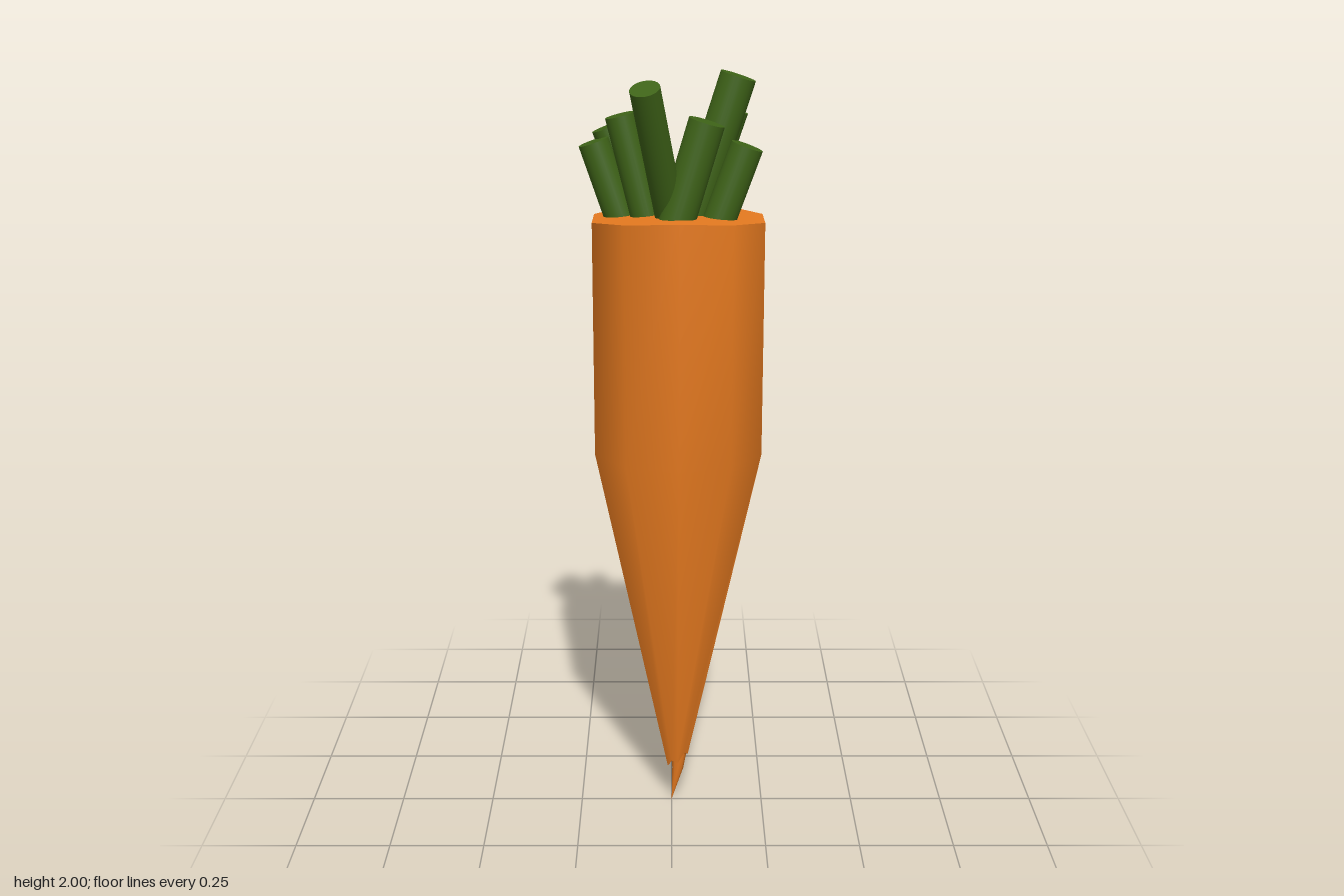
import * as THREE from 'three';
import { toCreasedNormals } from 'three/addons/utils/BufferGeometryUtils.js';

const SIDES = 10;

// Skin stacked rings, closed by a top centre point and a bottom centre point
function skin(rings, top, bottom) {
  const pos = rings.flat(2), idx = [], n = SIDES;
  const t = rings.length * n, b = t + 1;
  pos.push(...top, ...bottom);
  for (let r = 0; r < rings.length - 1; r++) {
    for (let i = 0; i < n; i++) {
      const j = (i + 1) % n;
      const a = r * n + i, c = r * n + j;
      idx.push(a, a + n, c, c, a + n, c + n);
    }
  }
  const last = (rings.length - 1) * n;
  for (let i = 0; i < n; i++) {
    const j = (i + 1) % n;
    idx.push(t, i, j, b, last + j, last + i);
  }
  const g = new THREE.BufferGeometry();
  g.setAttribute('position', new THREE.Float32BufferAttribute(pos, 3));
  g.setIndex(idx);
  return toCreasedNormals(g, 0.7);
}

function ring(cx, cz, radius, height) {
  return Array.from({ length: SIDES }, (_, i) => {
    const a = (i / SIDES) * Math.PI * 2;
    return [cx + radius * Math.sin(a), height(a, i), cz + radius * Math.cos(a)];
  });
}

// Straight cylinder between two points
function stem(from, to, radius, material) {
  const a = new THREE.Vector3(...from), b = new THREE.Vector3(...to);
  const dir = b.clone().sub(a);
  const mesh = new THREE.Mesh(new THREE.CylinderGeometry(radius, radius, dir.length(), 24), material);
  mesh.position.copy(a).add(b).multiplyScalar(0.5);
  mesh.quaternion.setFromUnitVectors(new THREE.Vector3(0, 1, 0), dir.normalize());
  return mesh;
}

export function createModel() {
  const model = new THREE.Group();
  model.name = 'carrot';
  const orange = new THREE.MeshStandardMaterial({ color: 0xe87b20, side: THREE.DoubleSide });
  const green = new THREE.MeshStandardMaterial({ color: 0x3f6418 });

  // Ten-sided root: slightly raised front rim, straight upper part, long taper, ragged end
  const root = new THREE.Mesh(skin([
    ring(0.017, -0.019, 0.226, (a) => 1.63 + 0.026 * Math.max(0, Math.cos(a)) ** 2),
    ring(0.017, -0.019, 0.226, () => 1.03),
    ring(0.017, 0, 0.029, (a, i) => 0.135 + 0.02 * Math.sin(a) + (i % 2 ? 0.008 : -0.008)),
  ], [0.017, 1.65, -0.019], [0.017, 0.14, 0]), orange);
  root.name = 'root';
  model.add(root);

  // Thin spike at the bottom, leaning to one side
  const tip = new THREE.Mesh(skin([
    ring(0.021, 0, 0.023, () => 0.16),
    ring(0.017, 0, 0.016, () => 0.1),
  ], [0.021, 0.16, 0], [0, 0, 0]), orange);
  tip.name = 'rootTip';
  model.add(tip);

  // Cut stems: base, top, radius
  const stems = new THREE.Group();
  stems.name = 'stems';
  [
    [[-0.07, 1.6, -0.085], [-0.165, 1.85, -0.085], 0.037],
    [[-0.12, 1.6, -0.04], [-0.195, 1.82, -0.04], 0.039],
    [[0.0, 1.6, -0.047], [-0.06, 1.9, -0.047], 0.037],
    [[-0.055, 1.6, -0.003], [-0.127, 1.89, -0.003], 0.038],
    [[0.005, 1.6, 0.04], [-0.063, 1.975, 0.205], 0.037],
    [[0.055, 1.6, -0.083], [0.155, 1.895, -0.083], 0.038],
    [[0.04, 1.6, -0.003], [0.163, 1.985, -0.003], 0.045],
    [[0.105, 1.6, 0.036], [0.185, 1.82, 0.036], 0.041],
    [[0.0, 1.6, 0.093], [0.085, 1.885, 0.093], 0.045],
  ].forEach(([from, to, radius], i) => {
    const mesh = stem(from, to, radius, green);
    mesh.name = `stem${i + 1}`;
    stems.add(mesh);
  });
  model.add(stems);
  return model;
}
